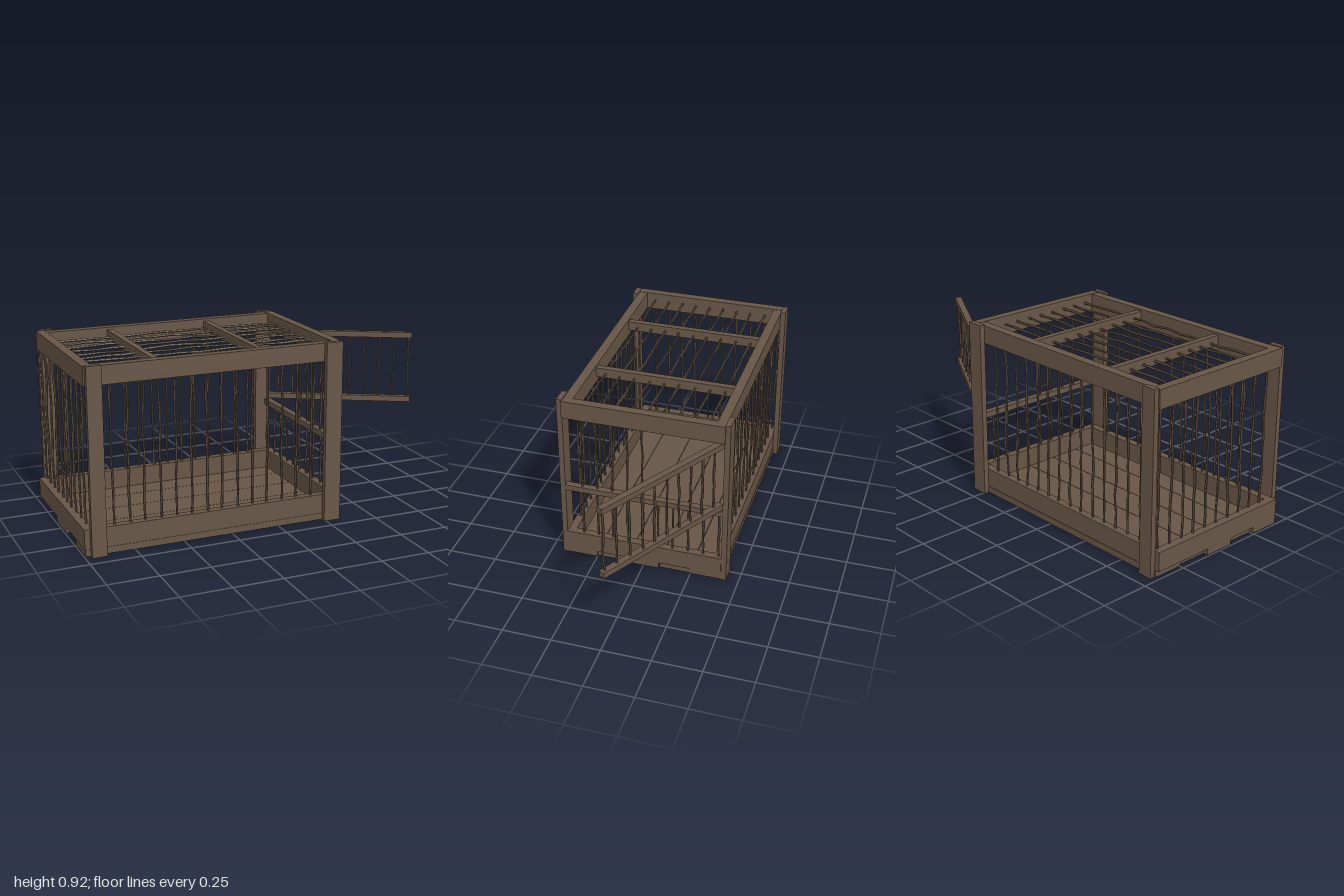
import * as THREE from 'three';

export function createModel() {
  const model = new THREE.Group();
  model.name = 'cage';
  const wood = new THREE.MeshStandardMaterial({ color: 0x675646 });
  wood.name = 'weathered brown wood';
  wood.flatShading = true;

  let seed = 7;
  const rand = () => {
    seed = (seed * 16807) % 2147483647;
    return seed / 2147483647 - 0.5;
  };

  // Box given by its extents along each axis
  function beam(name, x0, x1, y0, y1, z0, z1, parent = model) {
    const mesh = new THREE.Mesh(new THREE.BoxGeometry(x1 - x0, y1 - y0, z1 - z0), wood);
    mesh.position.set((x0 + x1) / 2, (y0 + y1) / 2, (z0 + z1) / 2);
    mesh.name = name;
    parent.add(mesh);
    return mesh;
  }

  // Crooked hand-cut stick; each ring of vertices is shifted and resized a little
  function stick(name, length, parent = model) {
    const rings = Math.max(5, Math.round(length / 0.09));
    const geo = new THREE.CylinderGeometry(0.006, 0.006, length, 6, rings);
    const shift = Array.from({ length: rings + 1 }, () => [rand() * 0.008, rand() * 0.008, 1 + rand() * 0.4]);
    const p = geo.attributes.position;
    for (let i = 0; i < p.count; i++) {
      const [dx, dz, s] = shift[Math.round((p.getY(i) / length + 0.5) * rings)];
      p.setX(i, p.getX(i) * s + dx);
      p.setZ(i, p.getZ(i) * s + dz);
    }
    geo.computeVertexNormals();
    const mesh = new THREE.Mesh(geo, wood);
    mesh.name = name;
    parent.add(mesh);
    return mesh;
  }
  function upright(name, x, z, y0, y1, parent = model) {
    stick(name, y1 - y0, parent).position.set(x, (y0 + y1) / 2, z);
  }

  // Floor planks with uneven ends
  const ends = [[-0.98, 0.325], [-0.97, 0.32], [-0.997, 0.33], [-0.975, 0.318], [-0.995, 0.327]];
  ends.forEach(([a, b], i) => {
    const z = (i - 2) * 0.1655;
    beam('floorPlank', a, b, 0.003, 0.036, z - 0.0815, z + 0.0815);
  });

  // Lower boards, lapped around the corners
  beam('frontLowerBoard', -0.955, 0.33, 0.036, 0.135, 0.37, 0.41);
  beam('backLowerBoard', -0.997, 0.29, 0.036, 0.135, -0.41, -0.37);
  beam('leftLowerBoard', 0.29, 0.33, 0.036, 0.135, -0.41, 0.37);
  beam('rightLowerBoard', -0.997, -0.955, 0.036, 0.135, -0.37, 0.41);

  // Corner posts, standing outside the boards
  for (const s of [-1, 1]) {
    const a = s * 0.409, b = s * 0.437;
    beam('rightPost', -0.97, -0.896, 0, 0.918, Math.min(a, b), Math.max(a, b));
    beam('leftPost', 0.238, 0.325, 0, 0.918, Math.min(a, b), Math.max(a, b));
  }

  // Upper rails
  beam('frontUpperRail', -0.933, 0.287, 0.82, 0.912, 0.363, 0.41);
  beam('backUpperRail', -0.933, 0.287, 0.82, 0.912, -0.41, -0.363);
  beam('leftUpperRail', 0.287, 0.332, 0.82, 0.914, -0.412, 0.412);
  beam('rightUpperRail', -0.978, -0.933, 0.82, 0.914, -0.412, 0.412);

  // Roof beams and roof bars
  for (const x of [-0.603, -0.07]) beam('roofBeam', x - 0.016, x + 0.016, 0.85, 0.9, -0.37, 0.37);
  for (let i = -4; i <= 4; i++) {
    const bar = stick('roofBar', 1.24);
    bar.rotation.z = Math.PI / 2;
    bar.position.set(-0.323, 0.87, i * 0.0785);
  }

  // Front and back bars
  for (let i = 0; i < 14; i++) {
    const x = -0.847 + i * 0.079;
    upright('frontBar', x, 0.388, 0.13, 0.825);
    upright('backBar', x, -0.388, 0.13, 0.825);
  }

  // End bars; the upper rear half of the left end is the doorway
  beam('middleRail', 0.292, 0.327, 0.392, 0.422, -0.41, 0.41);
  for (let i = 0; i < 10; i++) {
    const z = 0.322 - i * 0.079;
    upright('rightEndBar', -0.964, z, 0.13, 0.825);
    upright('leftEndLowerBar', 0.309, z, 0.13, 0.4);
    if (i < 5) upright('leftEndUpperBar', 0.309, z, 0.41, 0.825);
  }

  // Open door, hinged at the rear left post
  const door = new THREE.Group();
  door.name = 'door';
  door.position.set(0.31, 0, -0.394);
  door.rotation.y = -0.516;
  model.add(door);
  beam('doorLowerRail', 0, 0.775, 0.432, 0.462, -0.017, 0.017, door);
  beam('doorUpperRail', 0, 0.775, 0.788, 0.818, -0.017, 0.017, door);
  for (let i = 0; i < 10; i++) upright('doorBar', 0.05 + i * 0.0785, 0, 0.455, 0.795, door);

  return model;
}
